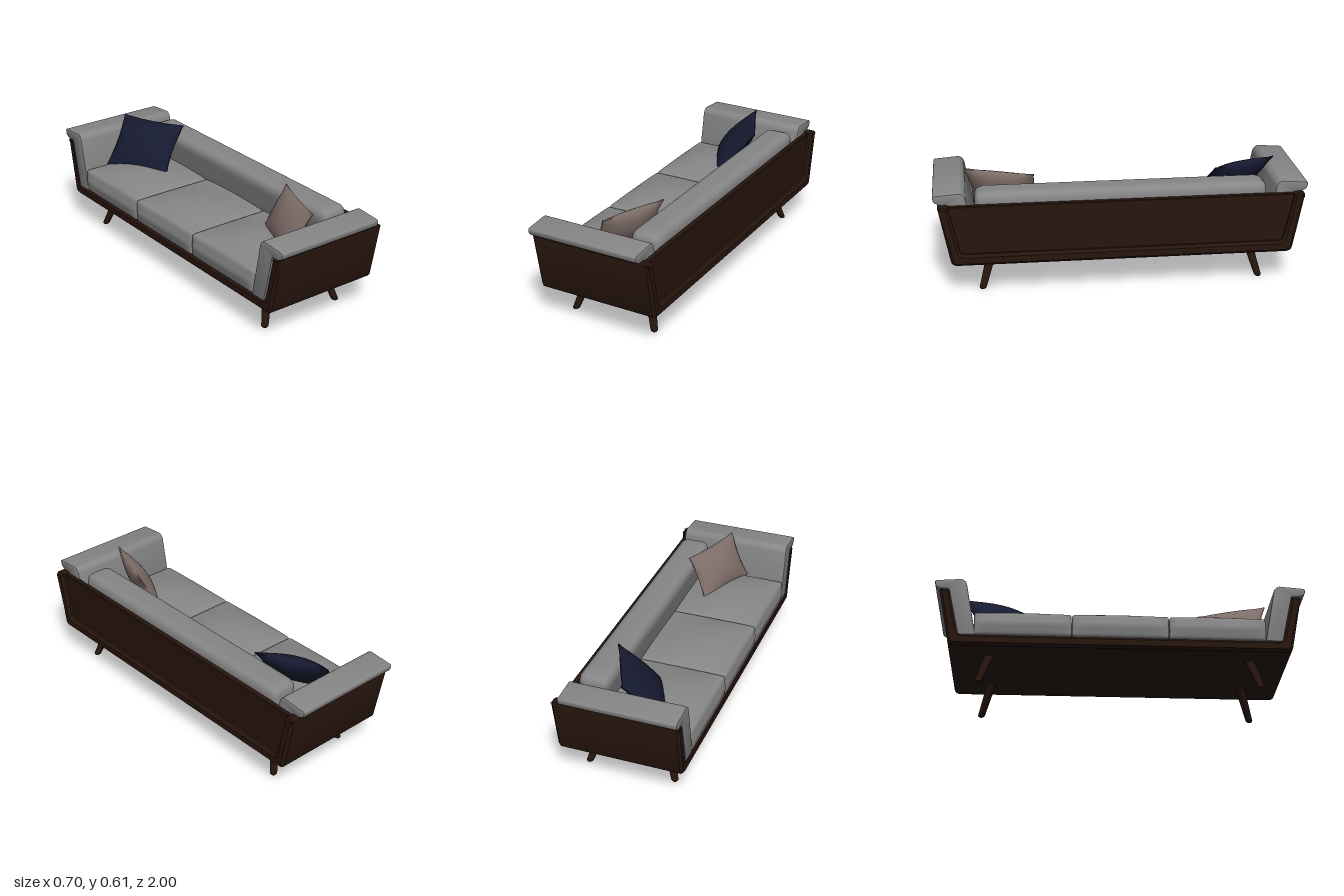
import * as THREE from 'three';
import { mergeVertices, toCreasedNormals } from 'three/addons/utils/BufferGeometryUtils.js';

const fabric = new THREE.MeshStandardMaterial({ color: 0x868686 });
const wood = new THREE.MeshStandardMaterial({ color: 0x27150d });
const navy = new THREE.MeshStandardMaterial({ color: 0x161a30 });
const taupe = new THREE.MeshStandardMaterial({ color: 0x7f6e69 });

function add(parent, name, geometry, material) {
  const mesh = new THREE.Mesh(geometry, material);
  mesh.name = name;
  parent.add(mesh);
  return mesh;
}

// Extrudes a [z, y] profile with rounded corners along x; each point may carry its own radius
function extrudeX(profile, x0, x1, bevel, radius, bevelSegments) {
  const pts = profile.map(([z, y]) => new THREE.Vector2(-z, y));
  const shape = new THREE.Shape();
  pts.forEach((p, i) => {
    const r = profile[i][2] ?? radius;
    const toward = (q) => p.clone().add(q.clone().sub(p).setLength(r));
    const a = toward(pts[(i + pts.length - 1) % pts.length]);
    const b = toward(pts[(i + 1) % pts.length]);
    if (i) shape.lineTo(a.x, a.y); else shape.moveTo(a.x, a.y);
    shape.quadraticCurveTo(p.x, p.y, b.x, b.y);
  });
  shape.closePath();
  const geo = new THREE.ExtrudeGeometry(shape, {
    depth: x1 - x0 - 2 * bevel, bevelThickness: bevel, bevelSize: bevel,
    bevelOffset: -bevel, bevelSegments, curveSegments: 5,
  });
  geo.rotateY(Math.PI / 2).translate(x0 + bevel, 0, 0);
  return toCreasedNormals(geo, 0.6);
}

// Rounded box with finer rows at its rims; bulge(p, u, v, w) pushes the surface further
function softBox(size, r, bulge) {
  const geo = new THREE.BoxGeometry(2, 2, 2, 18, 14, 18);
  const half = size.clone().multiplyScalar(0.5);
  const inner = half.clone().subScalar(r);
  const pos = geo.attributes.position;
  const p = new THREE.Vector3();
  const core = new THREE.Vector3();
  for (let i = 0; i < pos.count; i++) {
    p.fromBufferAttribute(pos, i);
    p.set(...p.toArray().map((t) => Math.sin(t * Math.PI / 2))).multiply(half);
    core.copy(p).clamp(inner.clone().negate(), inner);
    p.sub(core).setLength(r).add(core);
    bulge(p, p.x / half.x, p.y / half.y, p.z / half.z);
    pos.setXYZ(i, p.x, p.y, p.z);
  }
  geo.deleteAttribute('uv');
  geo.deleteAttribute('normal');
  const merged = mergeVertices(geo, 1e-5);
  merged.computeVertexNormals();
  return merged;
}

// Pillow with pinched seams, spanned by two top corners and the bottom corner below the first
function pillow(a, b, c, thickness) {
  const A = new THREE.Vector3(...a), B = new THREE.Vector3(...b), C = new THREE.Vector3(...c);
  const ex = B.clone().sub(A).multiplyScalar(0.5);
  const ey = A.clone().sub(C).multiplyScalar(0.5);
  const n = ex.clone().cross(ey).normalize();
  const centre = B.clone().add(C).multiplyScalar(0.5);
  const geo = new THREE.BoxGeometry(2, 2, 2, 18, 18, 1);
  const pos = geo.attributes.position;
  for (let i = 0; i < pos.count; i++) {
    const u = pos.getX(i), v = pos.getY(i), side = pos.getZ(i);
    const fu = 1 - u * u, fv = 1 - v * v;
    const p = centre.clone()
      .addScaledVector(ex, u * (1 - 0.07 * fv))
      .addScaledVector(ey, v * (1 - 0.06 * fu))
      .addScaledVector(n, side * (0.003 + thickness * Math.pow(Math.max(0, fu * fv), 0.65)));
    pos.setXYZ(i, p.x, p.y, p.z);
  }
  return toCreasedNormals(geo, 0.9);
}

export function createModel() {
  const sofa = new THREE.Group();
  sofa.name = 'sofa';

  // Wooden shell: flared sides and floor, with a recessed back board
  add(sofa, 'woodenShell', extrudeX([
    [-0.973, 0.5], [-0.91, 0.173, 0.03], [0.91, 0.173, 0.03], [0.973, 0.5],
    [0.92, 0.5], [0.862, 0.235, 0.025], [-0.862, 0.235, 0.025], [-0.92, 0.5],
  ], -0.335, 0.346, 0.014, 0.004, 1), wood);
  add(sofa, 'backBoard', extrudeX([
    [-0.925, 0.497], [-0.87, 0.22], [0.87, 0.22], [0.925, 0.497],
  ], 0.285, 0.318, 0.004, 0.004, 1), wood);

  // Upholstered arms with a lip over the shell
  for (const s of [1, -1]) {
    add(sofa, s > 0 ? 'armPadNear' : 'armPadFar', extrudeX([
      [0.77 * s, 0.232], [0.828 * s, 0.54, 0.012], [0.85 * s, 0.562, 0.012], [1.0 * s, 0.55, 0.014],
      [0.993 * s, 0.515, 0.01], [0.965 * s, 0.5], [0.921 * s, 0.5], [0.862 * s, 0.232],
    ], -0.335, 0.293, 0.006, 0.006, 2), fabric);
  }

  // Three seat cushions, crowned towards the front
  for (let i = -1; i <= 1; i++) {
    const seat = softBox(new THREE.Vector3(0.6, 0.13, 0.517), 0.014, (p, u, v, w) => {
      p.y += 0.036 * (1 - w * w) * (1 - u * u) * (1 - u) * (v + 1) / 2;
      if (u < 0) p.x += 0.015 * u * (1 - Math.abs(v)) * (1 - Math.pow(w, 10));
    });
    add(sofa, 'seatCushion', seat, fabric).position.set(-0.035, 0.298, i * 0.519 - 0.003);
  }

  // Long back cushion, its front undercut towards the seat
  const back = softBox(new THREE.Vector3(0.172, 0.235, 1.56), 0.05, (p, u, v) => {
    if (u < 0) p.x -= 0.04 * u * Math.max(0, 0.6 - v) / 2;
  });
  add(sofa, 'backCushion', back, fabric).position.set(0.202, 0.438, 0);

  // Splayed tapered legs with chamfered feet
  const legProfile = [[0, 0], [0.014, 0], [0.019, 0.006], [0.026, 0.185]].map((q) => new THREE.Vector2(...q));
  for (const sx of [1, -1]) {
    for (const sz of [1, -1]) {
      const leg = new THREE.LatheGeometry(legProfile, 20);
      const pos = leg.attributes.position;
      for (let i = 0; i < pos.count; i++) {
        const t = 1 - pos.getY(i) / 0.185;
        pos.setX(i, pos.getX(i) + sx * (0.181 + 0.058 * t) + 0.006);
        pos.setZ(i, pos.getZ(i) + sz * (0.697 + 0.056 * t));
      }
      add(sofa, 'leg', toCreasedNormals(leg, 0.6), wood);
    }
  }

  // Loose pillows
  add(sofa, 'darkPillow',
    pillow([0, 0.603, -0.87], [0.168, 0.604, -0.512], [-0.2, 0.365, -0.77], 0.056), navy);
  add(sofa, 'lightPillow',
    pillow([0.135, 0.597, 0.46], [0, 0.6, 0.83], [0.02, 0.36, 0.415], 0.05), taupe);

  return sofa;
}
